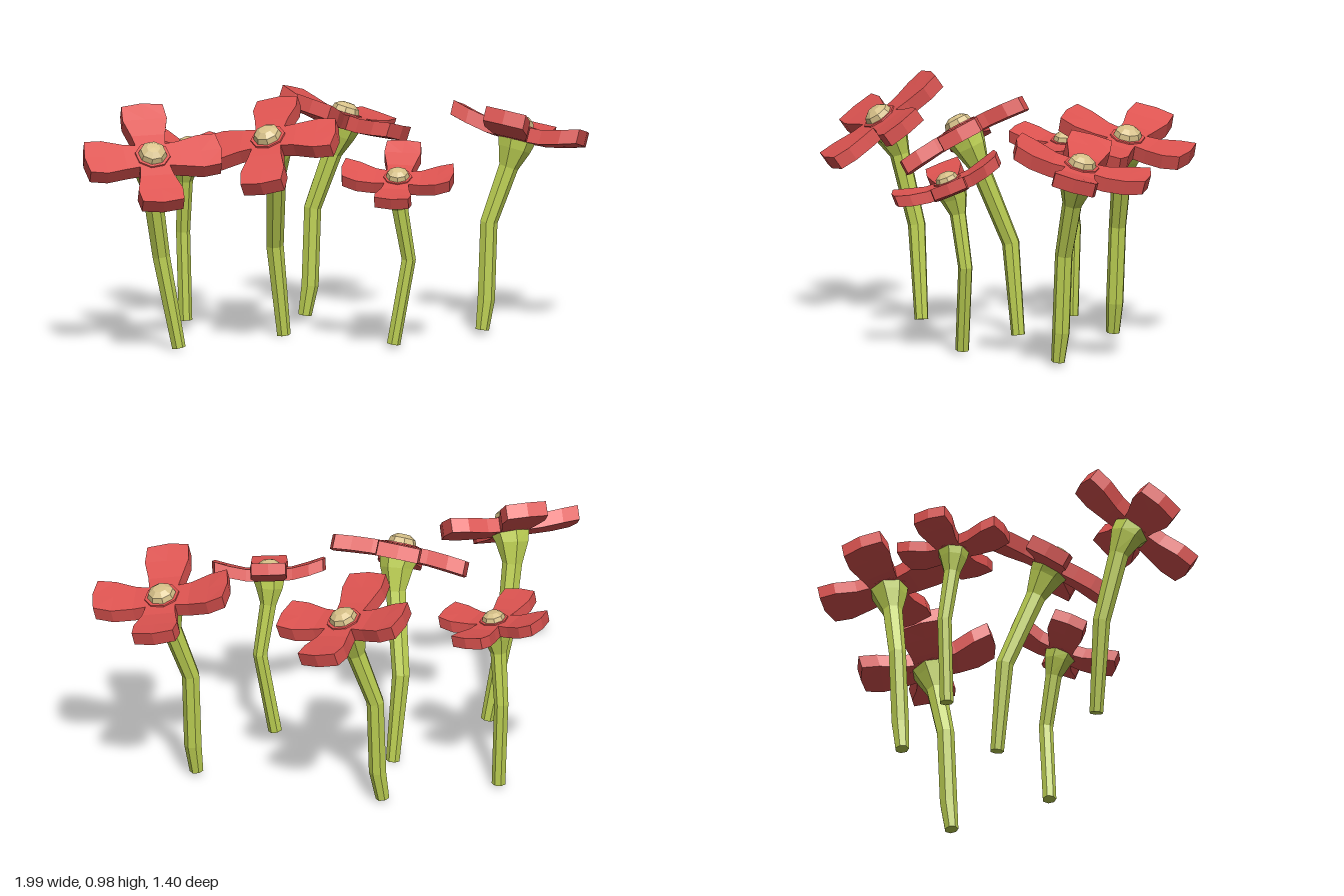
import * as THREE from 'three';

const petalRed = new THREE.MeshStandardMaterial({ name: 'petalRed', color: 0xdc5350, flatShading: true });
const stemGreen = new THREE.MeshStandardMaterial({ name: 'stemGreen', color: 0xbccf52, flatShading: true });
const centreTan = new THREE.MeshStandardMaterial({ name: 'centreTan', color: 0xd6c088, flatShading: true });

const UP = new THREE.Vector3(0, 1, 0);

// angle: turn of the four petals; cup: rise of the petal tips; dome: centre of
// the tan button; tilt: facing direction of the head; stem: points from the ground up
const FLOWERS = [
  { size: 0.79, angle: 35, cup: 0.035, dome: [-0.59, 0.74, -0.27], tilt: [0.17, 1, 0.03],
    stem: [[-0.61, 0.015, -0.3], [-0.62, 0.37, -0.31]] },
  { size: 0.96, angle: 30, cup: 0.03, dome: [0.025, 0.85, -0.445], tilt: [0.31, 1, -0.12],
    stem: [[-0.14, 0.02, -0.405], [-0.12, 0.14, -0.41], [-0.11, 0.45, -0.42]] },
  { size: 0.97, angle: 13, cup: 0.04, dome: [0.725, 0.85, -0.175], tilt: [0.24, 1, -0.22],
    stem: [[0.575, 0.02, -0.095], [0.59, 0.14, -0.105], [0.6, 0.45, -0.115]] },
  { size: 0.97, angle: 9, cup: -0.015, dome: [-0.27, 0.86, 0.205], tilt: [-0.28, 1, 0.52],
    stem: [[-0.21, 0.005, -0.035], [-0.245, 0.37, -0.01]] },
  { size: 0.79, angle: 5, cup: 0.045, dome: [0.255, 0.72, 0.315], tilt: [0, 1, 0.4],
    stem: [[0.235, 0.02, 0.245], [0.295, 0.36, 0.24]] },
  { size: 0.97, angle: -13, cup: 0.015, dome: [-0.71, 0.83, 0.47], tilt: [0.12, 1, 0.7],
    stem: [[-0.615, 0.01, 0.3], [-0.685, 0.38, 0.31]] },
];

// Thick petal along +x, widening from its root to a blunt tip
function petalGeometry(cup) {
  const reach = [0.05, 0.115, 0.2, 0.272];
  const half = [0.06, 0.07, 0.092, 0.086];
  const lift = [0, 0.05, 0.5, 1];
  const geo = new THREE.BoxGeometry(1, 1, 1, 3, 1, 2);
  const p = geo.attributes.position;
  for (let i = 0; i < p.count; i++) {
    const k = Math.round((p.getX(i) + 0.5) * 3);
    const side = p.getZ(i) * 2;
    const bulge = k === 3 ? 0.013 * (1 - Math.abs(side)) : 0;
    p.setXYZ(i, reach[k] + bulge, lift[k] * cup + (p.getY(i) > 0 ? 0.06 : 0), side * half[k]);
  }
  geo.computeVertexNormals();
  return geo;
}

// Faceted tube through points with a radius at each, capped at both ends
function loftStem(points, radii, sides = 7) {
  const pos = [], index = [];
  points.forEach((pt, i) => {
    const dir = points[Math.min(i + 1, points.length - 1)].clone()
      .sub(points[Math.max(i - 1, 0)]).normalize();
    const q = new THREE.Quaternion().setFromUnitVectors(UP, dir);
    for (let j = 0; j < sides; j++) {
      const a = (j / sides) * Math.PI * 2;
      const v = new THREE.Vector3(Math.cos(a), 0, Math.sin(a)).multiplyScalar(radii[i])
        .applyQuaternion(q).add(pt);
      pos.push(v.x, v.y, v.z);
    }
  });
  for (let i = 0; i < points.length - 1; i++) {
    for (let j = 0; j < sides; j++) {
      const a = i * sides + j, b = i * sides + (j + 1) % sides;
      index.push(a, a + sides, b, b, a + sides, b + sides);
    }
  }
  const top = (points.length - 1) * sides;
  for (let j = 1; j < sides - 1; j++) {
    index.push(0, j, j + 1, top, top + j + 1, top + j);
  }
  const geo = new THREE.BufferGeometry();
  geo.setAttribute('position', new THREE.Float32BufferAttribute(pos, 3));
  geo.setIndex(index);
  geo.computeVertexNormals();
  return geo;
}

export function createModel() {
  const model = new THREE.Group();
  model.name = 'flowers';
  const hubGeo = new THREE.CylinderGeometry(0.072, 0.085, 0.066, 8).translate(0, 0.033, 0);
  const domeProfile = [[0.062, 0.058], [0.052, 0.088], [0.028, 0.104], [0, 0.106]];
  const domeGeo = new THREE.LatheGeometry(domeProfile.map((d) => new THREE.Vector2(...d)), 8);

  for (const f of FLOWERS) {
    const flower = new THREE.Group();
    flower.name = 'flower';
    const normal = new THREE.Vector3(...f.tilt).normalize();
    const base = new THREE.Vector3(...f.dome).addScaledVector(normal, -0.085 * f.size);

    // Head: hub, button and four petals, tilted together
    const head = new THREE.Group();
    head.name = 'flowerHead';
    head.position.copy(base);
    head.quaternion.setFromUnitVectors(UP, normal);
    head.scale.setScalar(f.size);
    const hub = new THREE.Mesh(hubGeo, petalRed);
    hub.name = 'petalHub';
    const dome = new THREE.Mesh(domeGeo, centreTan);
    dome.name = 'flowerCentre';
    head.add(hub, dome);
    const petalGeo = petalGeometry(f.cup);
    for (let k = 0; k < 4; k++) {
      const petal = new THREE.Mesh(petalGeo, petalRed);
      petal.name = 'petal';
      petal.rotation.y = -THREE.MathUtils.degToRad(f.angle + k * 90);
      head.add(petal);
    }

    // Stem flares into a cup beneath the head, its neck bending back towards the lower stem
    const lower = f.stem.map((s) => new THREE.Vector3(...s));
    const bend = lower[lower.length - 1];
    const neck = base.clone().addScaledVector(normal, -0.12 * f.size);
    neck.lerp(base.clone().lerp(bend, 0.3), 0.5);
    const cup = base.clone().addScaledVector(normal, -0.035 * f.size);
    const radii = [0.028, ...lower.slice(1).map(() => 0.037), 0.042, 0.07, 0.08]
      .map((r, i) => (i ? r * f.size : r));
    const stem = new THREE.Mesh(loftStem([...lower, neck, cup, base], radii), stemGreen);
    stem.name = 'stem';

    flower.add(stem, head);
    model.add(flower);
  }
  return model;
}
